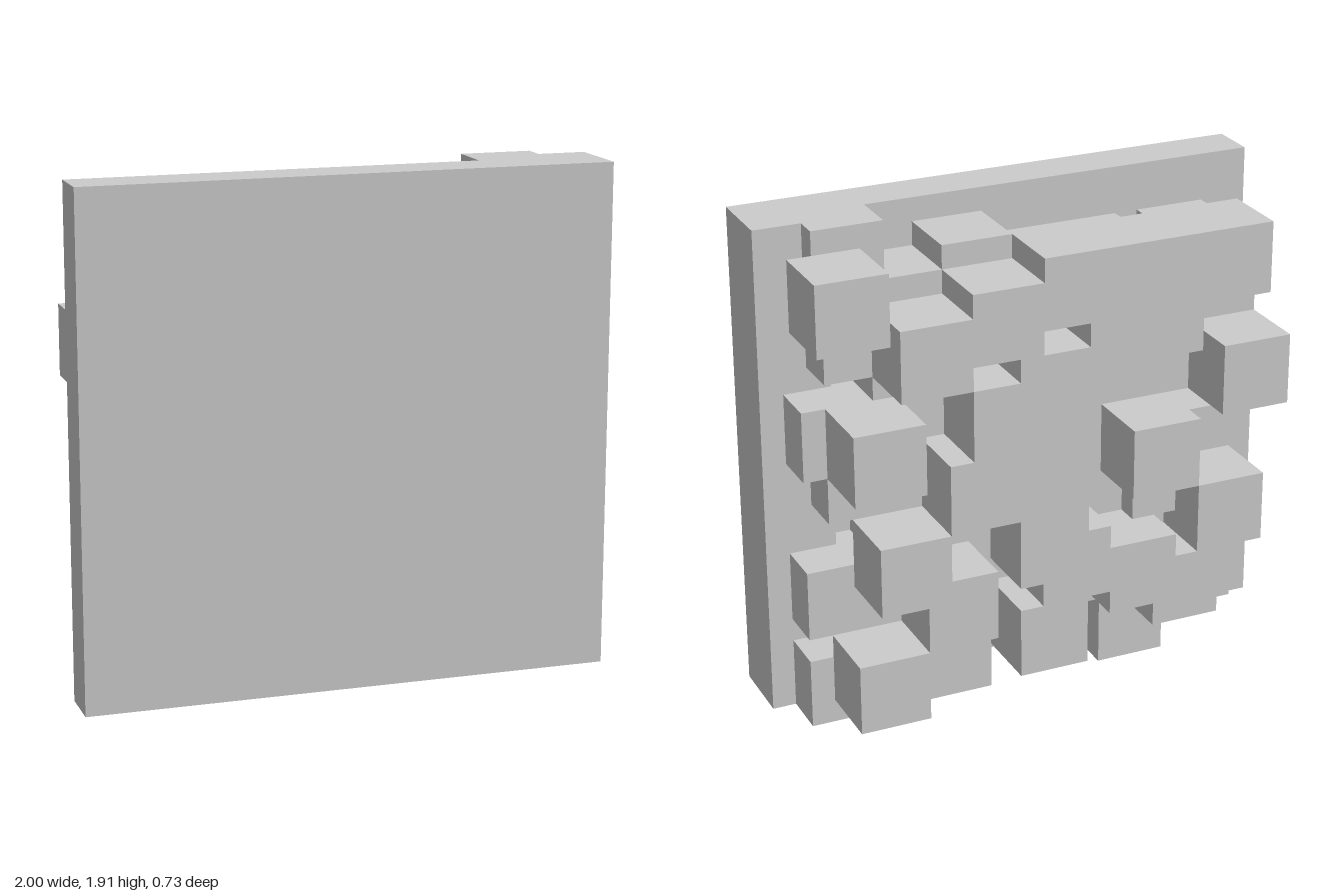
import * as THREE from 'three';

const S = 1 / 11; // one grid cell

export function createModel() {
  const model = new THREE.Group();
  model.name = 'blockPanel';
  const mat = new THREE.MeshStandardMaterial({ color: 0xcccccc, flatShading: true });

  // Box between cell limits: u runs from +x to -x, v upwards, w from front to back
  function block(parent, name, u0, u1, v0, v1, w0, w1) {
    const geo = new THREE.BoxGeometry((u1 - u0) * S, (v1 - v0) * S, (w1 - w0) * S);
    const mesh = new THREE.Mesh(geo, mat);
    mesh.name = name;
    mesh.position.set(1 - (u0 + u1) / 2 * S, (v0 + v1) / 2 * S, (4 - (w0 + w1) / 2) * S);
    parent.add(mesh);
  }

  function layer(name, partName, w0, w1, cells) {
    const g = new THREE.Group();
    g.name = name;
    for (const [u0, v0, du = 3, dv = 3] of cells) block(g, partName, u0, u0 + du, v0, v0 + dv, w0, w1);
    model.add(g);
  }

  // Flat front slab and the thicker strip along its left edge
  block(model, 'frontSlab', 0, 22, 0, 21, 0, 2);
  block(model, 'edgeStrip', 0, 3, 0, 21, 2, 3);

  // Top corner blocks
  block(model, 'topBlock', 2, 5, 18, 21, 2, 4);
  block(model, 'cornerCube', 1, 4, 17, 20, 4, 7);

  // Middle layer: [u, v, width, height], default 3 x 3
  layer('middleLayer', 'middleBlock', 2, 5, [
    [4, 3, 13, 13],            // core
    [9, 2],
    [1, 0], [6, 0], [14, 0],   // feet
    [1, 4], [2, 9], [1, 11], [2, 15],
    [4, 16], [7, 17], [10, 16, 6, 3], [16, 15, 1, 3], [17, 16],
    [18, 13], [18, 2, 3, 9], [15, 12],
  ]);

  // Half-sunk cube between the layers
  block(model, 'sunkCube', 15, 18, 7, 10, 3, 6);

  // Back layer of protruding cubes
  layer('backLayer', 'backBlock', 5, 8, [
    [4, 15], [7, 16], [10, 17, 10, 3],   // stepped top bar
    [9, 6, 3, 10], [7, 12], [6, 9],      // central mass
    [12, 14], [14, 15], [10, 5], [13, 4], [15, 3], [9, 2],
    [2, 11], [3, 6], [2, 1], [5, 4],     // left cubes
    [14, 9], [18, 12], [17, 6],          // right cubes
  ]);

  return model;
}
